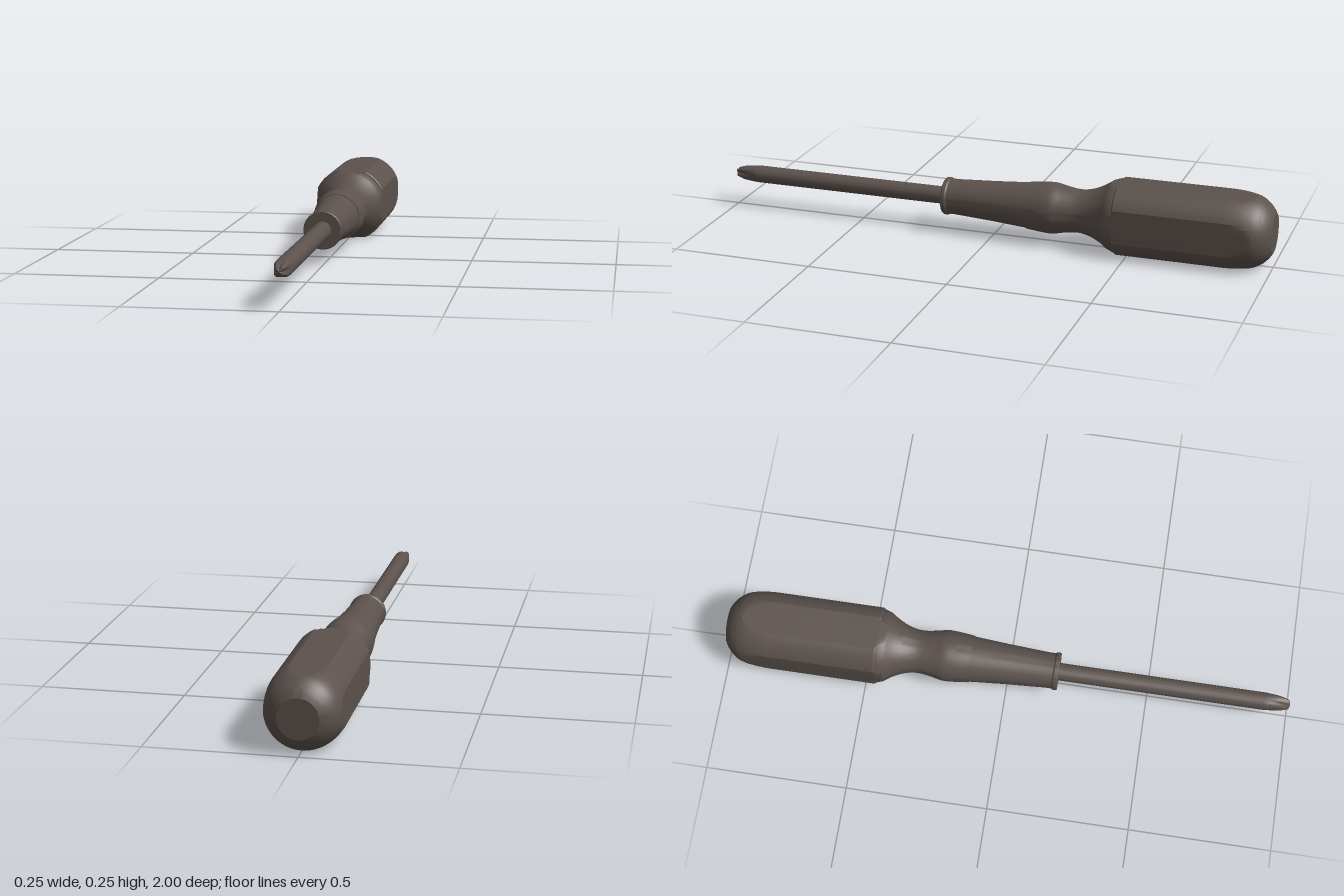
import * as THREE from 'three';
import { toCreasedNormals } from 'three/addons/utils/BufferGeometryUtils.js';

const AXIS_Y = 0.123; // height of the tool's axis
const FLAT = 0.123; // distance of the four grip flats from the axis

export function createModel() {
  const group = new THREE.Group();
  group.name = 'screwdriver';
  const darkBrown = new THREE.MeshStandardMaterial({ color: 0x5c524d });
  darkBrown.name = 'darkBrown';

  // Turn a profile of [radius, z] pairs about the z axis; reshape moves each vertex
  function turned(name, profile, segments, reshape, crease = 0.35) {
    const points = profile.map(([r, z]) => new THREE.Vector2(r, z));
    let geometry = new THREE.LatheGeometry(points, segments);
    geometry.rotateX(Math.PI / 2);
    if (reshape) {
      const p = geometry.attributes.position;
      const v = new THREE.Vector3();
      for (let i = 0; i < p.count; i++) {
        v.fromBufferAttribute(p, i);
        reshape(v);
        p.setXYZ(i, v.x, v.y, v.z);
      }
    }
    geometry = toCreasedNormals(geometry, crease);
    const mesh = new THREE.Mesh(geometry, darkBrown);
    mesh.name = name;
    mesh.position.y = AXIS_Y;
    group.add(mesh);
  }

  // Smooth curve through a few [radius, z] pairs
  function smooth(pairs, count) {
    const curve = new THREE.SplineCurve(pairs.map(([r, z]) => new THREE.Vector2(r, z)));
    return curve.getPoints(count).map((p) => [p.x, p.y]);
  }

  // Grip: round bar with a domed end, cut by four flats
  const dome = smooth([[0.068, -1], [0.087, -0.988], [0.107, -0.968], [0.123, -0.94],
    [0.133, -0.895], [0.137, -0.84]], 18);
  turned('grip', [[0, -1], ...dome, [0.137, -0.462], [0.133, -0.457], [0, -0.457]], 56, (v) => {
    v.x = THREE.MathUtils.clamp(v.x, -FLAT, FLAT);
    v.y = THREE.MathUtils.clamp(v.y, -FLAT, FLAT);
  });

  // Neck: flared shoulder, narrow waist and finger bulge
  const neck = smooth([[0.122, -0.43], [0.102, -0.4], [0.084, -0.36], [0.076, -0.315],
    [0.082, -0.265], [0.09, -0.225], [0.089, -0.185], [0.083, -0.13]], 32);
  turned('neck', [[0, -0.459], [0.13, -0.459], [0.13, -0.452], ...neck, [0, -0.13]], 56, (v) => {
    v.x = THREE.MathUtils.clamp(v.x, -FLAT, FLAT);
    v.y = THREE.MathUtils.clamp(v.y, -FLAT, FLAT);
  });

  // Sleeve: tapered front of the handle with a small end lip
  turned('sleeve', [[0, -0.135], [0.081, -0.135], [0.071, 0], [0.063, 0.14], [0.063, 0.162],
    [0.067, 0.167], [0.067, 0.178], [0.064, 0.182], [0, 0.182]], 48);

  // Shaft
  turned('shaft', [[0, 0.17], [0.031, 0.17], [0.031, 0.91], [0, 0.91]], 32);

  // Cross tip: four V grooves that deepen toward the blunt point
  const tip = smooth([[0.031, 0.91], [0.0295, 0.94], [0.025, 0.97], [0.017, 0.995]], 12);
  turned('crossTip', [[0, 0.905], [0.031, 0.905], ...tip, [0, 1]], 32, (v) => {
    const quarter = Math.PI / 2;
    const angle = Math.atan2(v.y, v.x);
    const offset = Math.abs(angle - Math.round(angle / quarter) * quarter);
    const groove = Math.max(0, 1 - offset / 0.6);
    const depth = THREE.MathUtils.clamp((v.z - 0.915) / 0.08, 0, 1) * 0.5;
    v.x *= 1 - depth * groove;
    v.y *= 1 - depth * groove;
  });

  return group;
}
